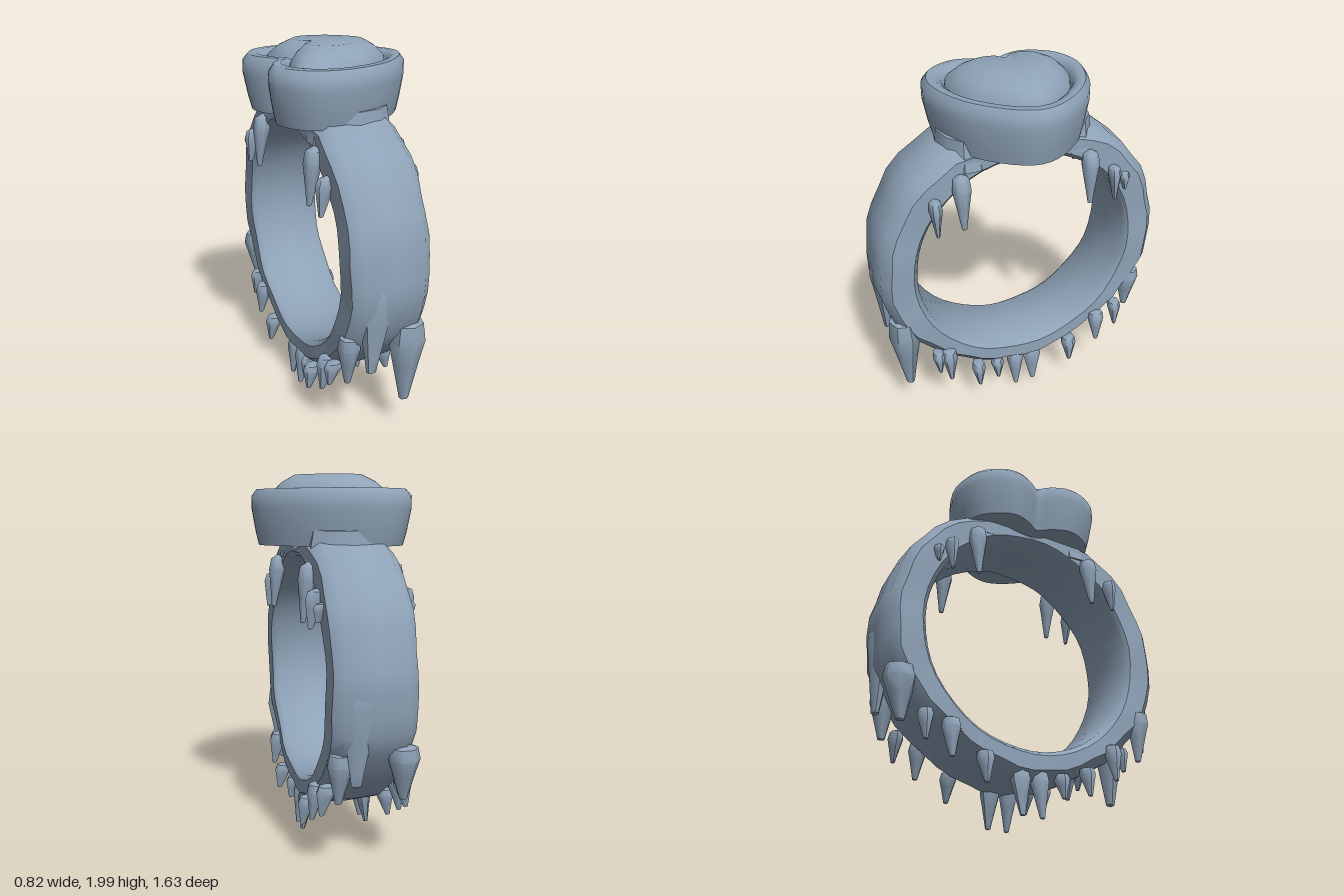
import * as THREE from 'three';
import { toCreasedNormals } from 'three/addons/utils/BufferGeometryUtils.js';

const metal = new THREE.MeshStandardMaterial({ color: 0x8fa3b8 });
metal.name = 'blue grey metal';
const CX = -0.035, CY = 0.96; // band centre

// Skin a row of closed cross-sections
function loft(rings, closed, crease) {
  const n = rings[0].length, m = rings.length, idx = [];
  for (let i = 0; i < (closed ? m : m - 1); i++) {
    for (let j = 0; j < n; j++) {
      const k = (j + 1) % n, u = (i + 1) % m;
      const a = i * n + j, b = i * n + k, c = u * n + j, d = u * n + k;
      idx.push(a, c, b, b, c, d);
    }
  }
  const g = new THREE.BufferGeometry().setFromPoints(rings.flat());
  g.setIndex(idx);
  return toCreasedNormals(g, crease);
}

// Heart outline, point towards +x, notch at -x
function heart(half, y) {
  const pts = half.map(([x, z]) => new THREE.Vector3(x, y, z));
  for (let i = half.length - 2; i > 0; i--) pts.push(new THREE.Vector3(half[i][0], y, -half[i][1]));
  const curve = new THREE.CatmullRomCurve3(pts, true, 'catmullrom', 0.5);
  return Array.from({ length: 54 }, (_, i) => curve.getPoint(i / 54));
}
const outer = [[0.405, 0], [0.35, 0.15], [0.21, 0.305], [0.06, 0.39], [-0.13, 0.435],
  [-0.3, 0.385], [-0.39, 0.27], [-0.41, 0.17], [-0.37, 0.07], [-0.325, 0]];
const inner = [[0.3, 0], [0.26, 0.11], [0.15, 0.23], [0.04, 0.295], [-0.11, 0.325],
  [-0.21, 0.3], [-0.275, 0.23], [-0.285, 0.14], [-0.26, 0.06], [-0.19, 0]];
const scaled = (half, s) => half.map(([x, z]) => [x * s, z * s]);
const between = (t) => outer.map(([x, z], i) =>
  [x + (inner[i][0] - x) * t, z + (inner[i][1] - z) * t]);

// Outer radius of the band by angle from the top, in 15 degree steps
const radii = [0.7, 0.75, 0.8, 0.815, 0.815, 0.81, 0.81, 0.815, 0.79, 0.765, 0.76, 0.765, 0.77];
function bandGeometry() {
  const rings = [], N = 48;
  for (let i = 0; i < N; i++) {
    const a = (i / N) * Math.PI * 2;
    const s = (Math.min(i, N - i) / N) * 24, k = Math.min(11, Math.floor(s));
    const R = THREE.MathUtils.lerp(radii[k], radii[k + 1], s - k) + 0.006 * Math.sin(i * 2.1);
    const w = 0.213 + 0.004 * Math.sin(i * 1.3);
    const section = [[-w, R - 0.055], [-w + 0.05, R - 0.008], [0, R], [w - 0.05, R - 0.008], [w, R - 0.055],
      [w, 0.635], [w - 0.03, 0.61], [0, 0.607], [-w + 0.03, 0.61], [-w, 0.635]];
    rings.push(section.map(([x, r]) => new THREE.Vector3(CX + x, CY + r * Math.cos(a), r * Math.sin(a))));
  }
  return loft(rings, true, 0.8);
}

// Tapered drip running from a top point to a tip
const dripProfile = [[0, 0], [0.26, 0.02], [0.4, 0.16], [0.7, 0.45], [1, 0.72], [0.85, 0.92], [0, 1]]
  .map(([x, y]) => new THREE.Vector2(x, y));
function icicle(top, tip, rx, rz) {
  const g = new THREE.LatheGeometry(dripProfile, 7), p = g.attributes.position;
  for (let i = 0; i < p.count; i++) {
    const t = p.getY(i);
    p.setXYZ(i,
      tip[0] + (top[0] - tip[0]) * t + p.getX(i) * rx,
      tip[1] + (top[1] - tip[1]) * t,
      tip[2] + (top[2] - tip[2]) * t + p.getZ(i) * rz);
  }
  return toCreasedNormals(g, 0.9);
}

export function createModel() {
  const model = new THREE.Group();
  const add = (name, geometry, parent = model) => {
    const mesh = new THREE.Mesh(geometry, metal);
    mesh.name = name;
    parent.add(mesh);
  };

  add('band', bandGeometry());

  // Heart setting with rounded rim
  add('heartSetting', loft([
    heart(scaled(outer, 0.001), 1.63),
    heart(scaled(outer, 0.91), 1.63),
    heart(scaled(outer, 0.95), 1.7),
    heart(outer, 1.82),
    heart(outer, 1.885),
    heart(between(0.25), 1.92),
    heart(between(0.6), 1.922),
    heart(between(0.9), 1.9),
    heart(inner, 1.85),
  ], false, 0.8));

  // Domed heart stone
  add('heartStone', loft([
    heart(inner, 1.85),
    heart(scaled(inner, 0.97), 1.91),
    heart(scaled(inner, 0.8), 1.96),
    heart(scaled(inner, 0.58), 1.997),
    heart(scaled(inner, 0.001), 2.0),
  ], false, 0.7));

  // Flared necks joining the band to the setting
  for (const side of [1, -1]) {
    const neck = new THREE.CylinderGeometry(0.2, 0.23, 0.16, 10);
    neck.scale(1, 1, 0.6);
    neck.translate(CX, 1.63, side * 0.29);
    add('neck', toCreasedNormals(neck, 0.8));
  }

  const icicles = new THREE.Group();
  icicles.name = 'icicles';
  model.add(icicles);

  // Large drips on the front and back: top, tip, x radius, z radius
  [
    [[-0.1, 1.02, 0.74], [-0.13, 0.46, 0.745], 0.1, 0.075],
    [[0.1, 0.72, 0.7], [0.1, 0.205, 0.69], 0.1, 0.09],
    [[0.04, 1.06, -0.74], [0.06, 0.5, -0.745], 0.1, 0.075],
    [[-0.19, 0.7, -0.72], [-0.2, 0.4, -0.7], 0.085, 0.085],
    [[0.12, 0.68, -0.69], [0.13, 0.4, -0.68], 0.07, 0.07],
    [[-0.22, 0.68, 0.68], [-0.22, 0.38, 0.66], 0.06, 0.06],
  ].forEach((d) => add('largeIcicle', icicle(...d), icicles));

  // Small drips along both edges: z, top y, tip y, outward shift, z radius
  const edge = [
    [0.36, 1.56, 1.25, 0.03, 0.05], [0.5, 1.45, 1.24, 0.03, 0.035],
    [-0.35, 1.56, 1.25, 0.03, 0.05], [-0.5, 1.44, 1.24, 0.03, 0.035], [-0.57, 1.38, 1.28, 0.01, 0.03],
    [0.47, 0.45, 0.24, 0.015, 0.045], [0.53, 0.44, 0.3, 0, 0.035], [0.3, 0.3, 0.14, 0.02, 0.04],
    [0.17, 0.26, 0.12, -0.02, 0.04], [0.05, 0.27, 0.01, -0.035, 0.05], [-0.06, 0.27, 0.015, -0.035, 0.055],
    [-0.28, 0.31, 0.14, 0.02, 0.045], [-0.46, 0.45, 0.24, 0.015, 0.05], [-0.59, 0.48, 0.31, 0, 0.04],
  ];
  for (const side of [1, -1]) {
    for (const [z, top, tip, out, rz] of edge) {
      const x = CX + side * (0.215 + out);
      add('edgeIcicle', icicle([x - side * 0.02, top, z], [x + side * 0.01, tip, z], 0.05, rz), icicles);
    }
  }
  return model;
}
